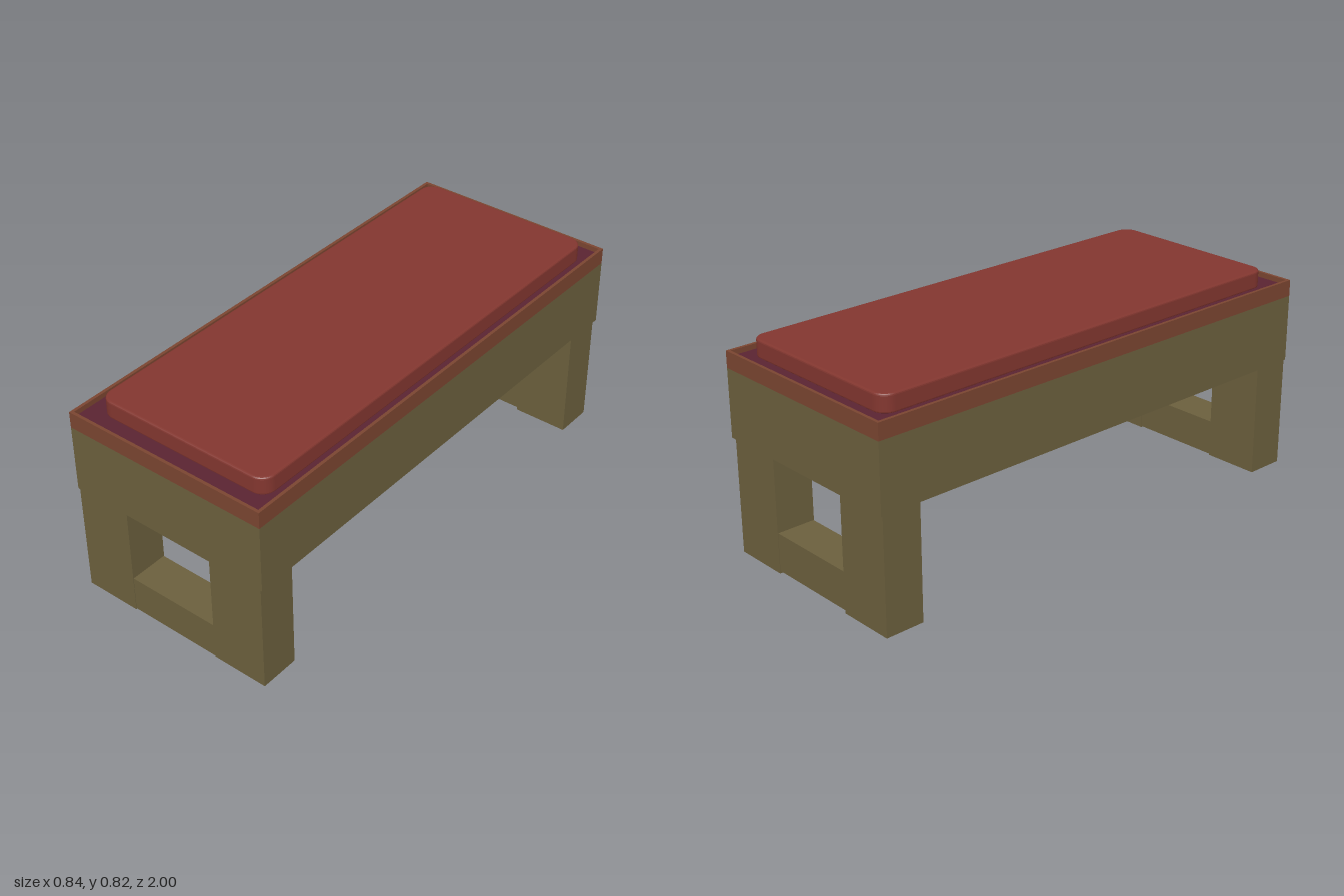
import * as THREE from 'three';

const olive = new THREE.MeshStandardMaterial({ color: 0x6b5f3d });
olive.name = 'olive paint';
const rust = new THREE.MeshStandardMaterial({ color: 0x7a4530 });
rust.name = 'rust trim';
const maroon = new THREE.MeshStandardMaterial({ color: 0x5a2432 });
maroon.name = 'maroon lining';
const red = new THREE.MeshStandardMaterial({ color: 0x82362f });
red.name = 'red cushion';

// Box given by its lower and upper limits on each axis
function box(name, material, [x0, x1], [y0, y1], [z0, z1]) {
  const mesh = new THREE.Mesh(new THREE.BoxGeometry(x1 - x0, y1 - y0, z1 - z0), material);
  mesh.position.set((x0 + x1) / 2, (y0 + y1) / 2, (z0 + z1) / 2);
  mesh.name = name;
  return mesh;
}

// Rectangle, optionally with rounded corners, in the shape plane
function rectangle(PathType, w, d, r = 0) {
  const p = new PathType(), x = w / 2, y = d / 2;
  p.moveTo(-x + r, -y);
  p.lineTo(x - r, -y);
  if (r) p.absarc(x - r, -y + r, r, -Math.PI / 2, 0);
  p.lineTo(x, y - r);
  if (r) p.absarc(x - r, y - r, r, 0, Math.PI / 2);
  p.lineTo(-x + r, y);
  if (r) p.absarc(-x + r, y - r, r, Math.PI / 2, Math.PI);
  p.lineTo(-x, -y + r);
  if (r) p.absarc(-x + r, -y + r, r, Math.PI, Math.PI * 1.5);
  return p;
}

// Leg pair joined by a low stretcher
function legFrame(name, z, bottom, stretcherBottom) {
  const frame = new THREE.Group();
  frame.name = name;
  frame.add(
    box('rightLeg', olive, [-0.413, -0.189], [bottom, 0.45], z),
    box('leftLeg', olive, [0.187, 0.411], [bottom, 0.45], z),
    box('stretcher', olive, [-0.189, 0.187], [stretcherBottom, 0.158], [z[0] + 0.002, z[1] - 0.002])
  );
  return frame;
}

export function createModel() {
  const model = new THREE.Group();
  model.name = 'bench';

  // Deep apron and the two leg frames
  model.add(
    box('apron', olive, [-0.419, 0.419], [0.45, 0.713], [-1, 1]),
    legFrame('frontLegs', [0.843, 0.998], 0.013, 0.017),
    legFrame('backLegs', [-0.99, -0.835], 0, 0.01)
  );

  // Trim band forming a shallow tray
  const band = rectangle(THREE.Shape, 0.838, 2);
  band.holes.push(rectangle(THREE.Path, 0.814, 1.976));
  const trim = new THREE.Mesh(
    new THREE.ExtrudeGeometry(band, { depth: 0.064, bevelEnabled: false }).rotateX(-Math.PI / 2), rust);
  trim.position.y = 0.713;
  trim.name = 'trimBand';
  model.add(trim, box('trayLining', maroon, [-0.407, 0.407], [0.713, 0.757], [-0.988, 0.988]));

  // Cushion with rounded corners and a softened top edge, set slightly off centre
  const bevel = 0.008;
  const pad = new THREE.ExtrudeGeometry(rectangle(THREE.Shape, 0.728 - 2 * bevel, 1.848 - 2 * bevel, 0.045), {
    depth: 0.07 - 2 * bevel, bevelSize: bevel, bevelThickness: bevel, bevelSegments: 3, curveSegments: 8
  }).rotateX(-Math.PI / 2);
  const cushion = new THREE.Mesh(pad, red);
  cushion.position.set(0.009, 0.754 + bevel, -0.005);
  cushion.name = 'cushion';
  model.add(cushion);

  return model;
}
